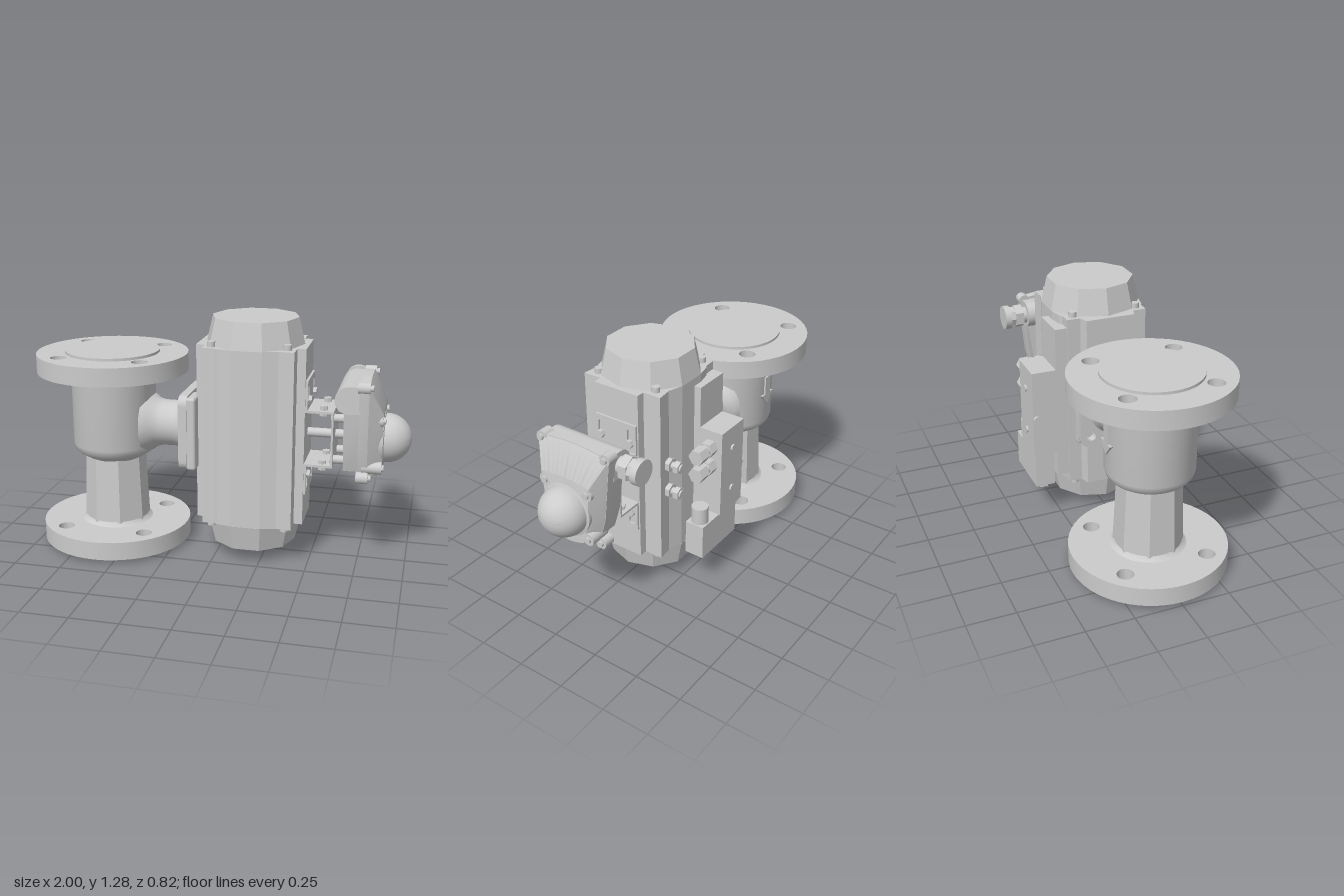
import * as THREE from 'three';
import { toCreasedNormals } from 'three/addons/utils/BufferGeometryUtils.js';
import { RoundedBoxGeometry } from 'three/addons/geometries/RoundedBoxGeometry.js';

const mat = new THREE.MeshStandardMaterial({ color: 0xcccccc });
const V = (x, y) => new THREE.Vector2(x, y);

export function createModel() {
  const model = new THREE.Group();
  let parent = model;
  const group = (name) => {
    parent = new THREE.Group();
    parent.name = name;
    model.add(parent);
  };
  const add = (name, geo, x = 0, y = 0, z = 0) => {
    const m = new THREE.Mesh(geo, mat);
    m.name = name;
    m.position.set(x, y, z);
    parent.add(m);
    return m;
  };
  // Box given by its limits on each axis
  const box = (name, x0, x1, y0, y1, z0, z1) =>
    add(name, new THREE.BoxGeometry(x1 - x0, y1 - y0, z1 - z0), (x0 + x1) / 2, (y0 + y1) / 2, (z0 + z1) / 2);
  // Cylinder along an axis, centred on the point
  const rod = (name, axis, r, len, x, y, z, sides = 32) => {
    let g = new THREE.CylinderGeometry(r, r, len, sides);
    if (sides <= 8) g = toCreasedNormals(g, 0.3);
    if (axis === 'x') g.rotateZ(-Math.PI / 2);
    if (axis === 'z') g.rotateX(Math.PI / 2);
    return add(name, g, x, y, z);
  };
  const lathe = (pts, sides = 64) =>
    toCreasedNormals(new THREE.LatheGeometry(pts.map((p) => V(p[0], p[1])), sides), 0.6);
  const extrude = (shape, depth) =>
    new THREE.ExtrudeGeometry(shape, { depth, bevelEnabled: false, curveSegments: 24 });
  const hole = (x, y, r) => new THREE.Path().absarc(x, y, r, 0, Math.PI * 2, true);
  const signs = [-1, 1];

  // ---- Valve body ----
  group('valve');
  const vx = -0.595;
  const flangeShape = new THREE.Shape().absarc(0, 0, 0.405, 0, Math.PI * 2, false);
  for (const i of signs) for (const j of signs) flangeShape.holes.push(hole(i * 0.22, j * 0.22, 0.043));
  const flangeGeo = toCreasedNormals(extrude(flangeShape, 0.098).rotateX(-Math.PI / 2), 0.6);
  add('bottomFlange', flangeGeo, vx, 0.02, 0);
  add('topFlange', flangeGeo, vx, 0.958, 0);
  rod('bottomRaisedFace', 'y', 0.252, 0.03, vx, 0.015, 0, 64);
  rod('topRaisedFace', 'y', 0.252, 0.03, vx, 1.055, 0, 64);
  add('valveBarrel', lathe([[0.12, 0.46], [0.165, 0.49], [0.2, 0.512], [0.217, 0.53], [0.226, 0.56],
    [0.226, 0.925], [0.231, 0.945], [0.245, 0.962]]), vx);
  // Faceted tapering neck
  const neck = new THREE.CylinderGeometry(0.162, 0.18, 0.41, 8).rotateY(Math.PI / 8);
  add('lowerNeck', toCreasedNormals(neck, 0.3), vx, 0.315, 0);
  add('neckFillet', lathe([[0.2, 0.115], [0.182, 0.125], [0.172, 0.14]]), vx);

  // Raised flow arrow on the back
  const arrow = new THREE.Shape([V(0, -0.085), V(0.055, -0.02), V(0.025, -0.02), V(0.025, 0.085),
    V(-0.025, 0.085), V(-0.025, -0.02), V(-0.055, -0.02)]);
  add('flowArrow', extrude(arrow, 0.025), vx, 0.75, -0.234);

  // Side branch and mounting pad
  add('sideBranch', lathe([[0.17, -0.41], [0.152, -0.37], [0.132, -0.345], [0.123, -0.31], [0.122, -0.24],
    [0.13, -0.205], [0.147, -0.18]]).rotateZ(-Math.PI / 2), 0, 0.68, 0);
  const pad = new THREE.Shape();
  const pw = 0.2, pr = 0.05;
  [[1, 1, 0], [-1, 1, 1], [-1, -1, 2], [1, -1, 3]].forEach(([a, b, q]) =>
    pad.absarc(a * (pw - pr), b * (pw - pr), pr, q * Math.PI / 2, (q + 1) * Math.PI / 2, false));
  for (const i of signs) for (const j of signs) pad.holes.push(hole(i * 0.14, j * 0.14, 0.026));
  add('mountingPad', toCreasedNormals(extrude(pad, 0.045).rotateY(Math.PI / 2), 0.6), -0.183, 0.678, 0);
  for (const s of signs)
    add('padSpacer', new RoundedBoxGeometry(0.05, 0.39, 0.15, 3, 0.015), -0.117, 0.678, s * 0.125);

  // ---- Actuator ----
  group('actuator');
  const ax = 0.183;
  const half = [[-0.1, 0.13], [-0.05, 0.145], [-0.05, 0.215], [0.015, 0.218], [0.03, 0.228], [0.1, 0.243],
    [0.26, 0.243], [0.34, 0.22], [0.42, 0.228], [0.42, 0.13], [0.465, 0.13]];
  const outline = [...half, ...half.map(([x, z]) => [x, -z]).reverse()].map((p) => V(p[0], p[1]));
  add('actuatorBody', extrude(new THREE.Shape(outline), 0.935).rotateX(-Math.PI / 2), 0, 0.21, 0);
  for (const s of signs) {
    // Ten-sided tapering end caps with corner screws
    const cap = new THREE.CylinderGeometry(s > 0 ? 0.225 : 0.257, s > 0 ? 0.257 : 0.225, 0.137, 10);
    cap.rotateY(Math.PI / 2);
    add('endCap', toCreasedNormals(cap, 0.3), ax, s > 0 ? 1.2125 : 0.1415, 0);
    for (const i of signs) for (const j of signs)
      rod('capScrew', 'y', 0.021, 0.07, ax + i * 0.194, 0.6775 + s * 0.46, j * 0.172, 16);
  }

  // ---- Solenoid valve on the back ----
  group('solenoid');
  box('backRail', -0.045, 0.155, 0.26, 1.1, -0.28, -0.2);
  box('valveBlock', -0.045, 0.155, 0.4, 0.88, -0.41, -0.275);
  for (const y of [0.79, 0.685]) {
    rod('portNut', 'x', 0.043, 0.05, 0.18, y, -0.345, 6);
    rod('portFitting', 'x', 0.032, 0.03, 0.215, y, -0.345);
    rod('portElbow', 'x', 0.043, 0.065, 0.258, y, -0.345, 6);
  }
  rod('blockScrew', 'x', 0.018, 0.02, -0.05, 0.62, -0.39, 16);
  for (const y of [0.52, 0.76]) rod('overrideButton', 'z', 0.018, 0.02, 0.055, y, -0.41, 16);
  box('coil', -0.02, 0.29, 0.2, 0.39, -0.395, -0.29);
  rod('coilStem', 'y', 0.05, 0.06, 0.03, 0.39, -0.343);
  rod('connectorGland', 'y', 0.044, 0.09, 0.24, 0.435, -0.343);
  rod('coilNut', 'y', 0.035, 0.025, 0.03, 0.19, -0.343, 6);

  // Stop bolts on the back of the actuator
  for (const y of [0.755, 0.605]) {
    rod('stopBoltShank', 'z', 0.02, 0.11, 0.36, y, -0.26, 16);
    rod('stopBoltNut', 'z', 0.037, 0.025, 0.36, y, -0.245, 6);
    rod('stopBoltHead', 'z', 0.034, 0.028, 0.36, y, -0.292, 6);
  }

  // ---- Bracket between actuator and switch box ----
  group('bracket');
  const footShape = new THREE.Shape([V(-0.123, 0), V(0.123, 0), V(0.123, 0.16), V(-0.123, 0.16)]);
  for (const s of signs) {
    const slot = new THREE.Path();
    slot.absarc(s * 0.088, 0.115, 0.018, 0, Math.PI, false);
    slot.absarc(s * 0.088, 0.05, 0.018, Math.PI, Math.PI * 2, false);
    footShape.holes.push(slot);
  }
  const footGeo = extrude(footShape, 0.012).rotateY(Math.PI / 2);
  for (const s of signs) {
    const y = 0.678 + s * 0.143;
    const foot = add('bracketFoot', footGeo, s > 0 ? 0.465 : 0.477, y, 0);
    if (s < 0) foot.rotation.z = Math.PI;
    box('bracketArm', 0.465, 0.61, y - 0.006, y + 0.006, -0.123, 0.123);
    for (const j of signs) {
      rod('footScrew', 'x', 0.022, 0.022, 0.484, 0.678 + s * 0.2, j * 0.088, 6);
      rod('armScrew', 'y', 0.022, 0.024, 0.555, y + s * 0.016, j * 0.083, 6);
      rod('armNut', 'y', 0.022, 0.02, 0.555, y - s * 0.014, j * 0.083, 6);
      rod('mountPin', 'x', 0.022, 0.08, 0.635, 0.678 + s * 0.11, j * 0.085, 16);
    }
  }
  box('bracketFace', 0.6, 0.61, 0.535, 0.82, -0.123, 0.123);
  rod('shaft', 'x', 0.024, 0.21, 0.56, 0.68, 0);

  // ---- Switch box ----
  group('switchBox');
  // Lid outline: wide curved top, narrower curved bottom
  const lid = new THREE.Shape();
  lid.moveTo(-0.14, 0.5);
  lid.quadraticCurveTo(0, 0.435, 0.14, 0.5);
  lid.lineTo(0.178, 0.65);
  lid.lineTo(0.212, 0.985);
  lid.quadraticCurveTo(0, 1.03, -0.212, 0.985);
  lid.lineTo(-0.178, 0.65);
  lid.closePath();
  // Extrude along x, moving the far end towards a smaller outline
  const taper = (x0, x1, nearFn, farFn) => {
    const g = extrude(lid, 1);
    const p = g.attributes.position;
    for (let i = 0; i < p.count; i++) {
      const far = p.getZ(i) > 0.5;
      const [a, b] = (far ? farFn : nearFn)(p.getX(i), p.getY(i));
      p.setXYZ(i, a, b, far ? x1 : x0);
    }
    return toCreasedNormals(g.rotateY(Math.PI / 2), 0.5);
  };
  const full = (a, b) => [a, b];
  const base = (a, b) => [a * 0.93, 0.5 + (b - 0.47) * 0.8];
  const front = (a, b) => [a * 0.68, 0.5 + (b - 0.47) * 0.66];
  add('boxBase', taper(0.667, 0.75, base, base));
  add('boxRim', taper(0.742, 0.79, full, full));
  add('boxLid', taper(0.788, 0.86, full, front));
  rod('cableChamber', 'z', 0.07, 0.4, 0.69, 0.912, 0);
  box('chamberBridge', 0.69, 0.75, 0.845, 0.982, -0.2, 0.2);
  rod('glandThread', 'z', 0.045, 0.06, 0.69, 0.91, -0.22);
  rod('glandNut', 'z', 0.066, 0.045, 0.69, 0.91, -0.247, 6);
  rod('glandCap', 'z', 0.058, 0.035, 0.69, 0.91, -0.285, 8);
  rod('glandEnd', 'z', 0.066, 0.034, 0.69, 0.91, -0.314);
  for (const s of signs) {
    // Lid ears with screws
    for (const [y, z] of [[0.978, 0.188], [0.5, 0.148]]) {
      rod('lidEar', 'x', 0.03, 0.06, 0.765, y, s * z);
      rod('lidScrew', 'x', 0.016, 0.02, 0.8, y, s * z, 16);
    }
    // Dome ears
    for (const y of [0.8, 0.55]) {
      rod('domeEar', 'x', 0.032, 0.1, 0.81, y, s * 0.124);
      rod('domeScrew', 'x', 0.017, 0.02, 0.862, y, s * 0.124, 16);
    }
  }
  // Round indicator dome
  const dome = [[0.14, 0.8], [0.14, 0.862], [0.127, 0.866]];
  for (let i = 0; i <= 14; i++) {
    const t = (i / 14) * Math.PI / 2;
    dome.push([0.127 * Math.cos(t), 0.873 + 0.127 * Math.sin(t)]);
  }
  add('indicatorDome', lathe(dome, 48).rotateZ(-Math.PI / 2), 0, 0.677, 0);
  return model;
}
